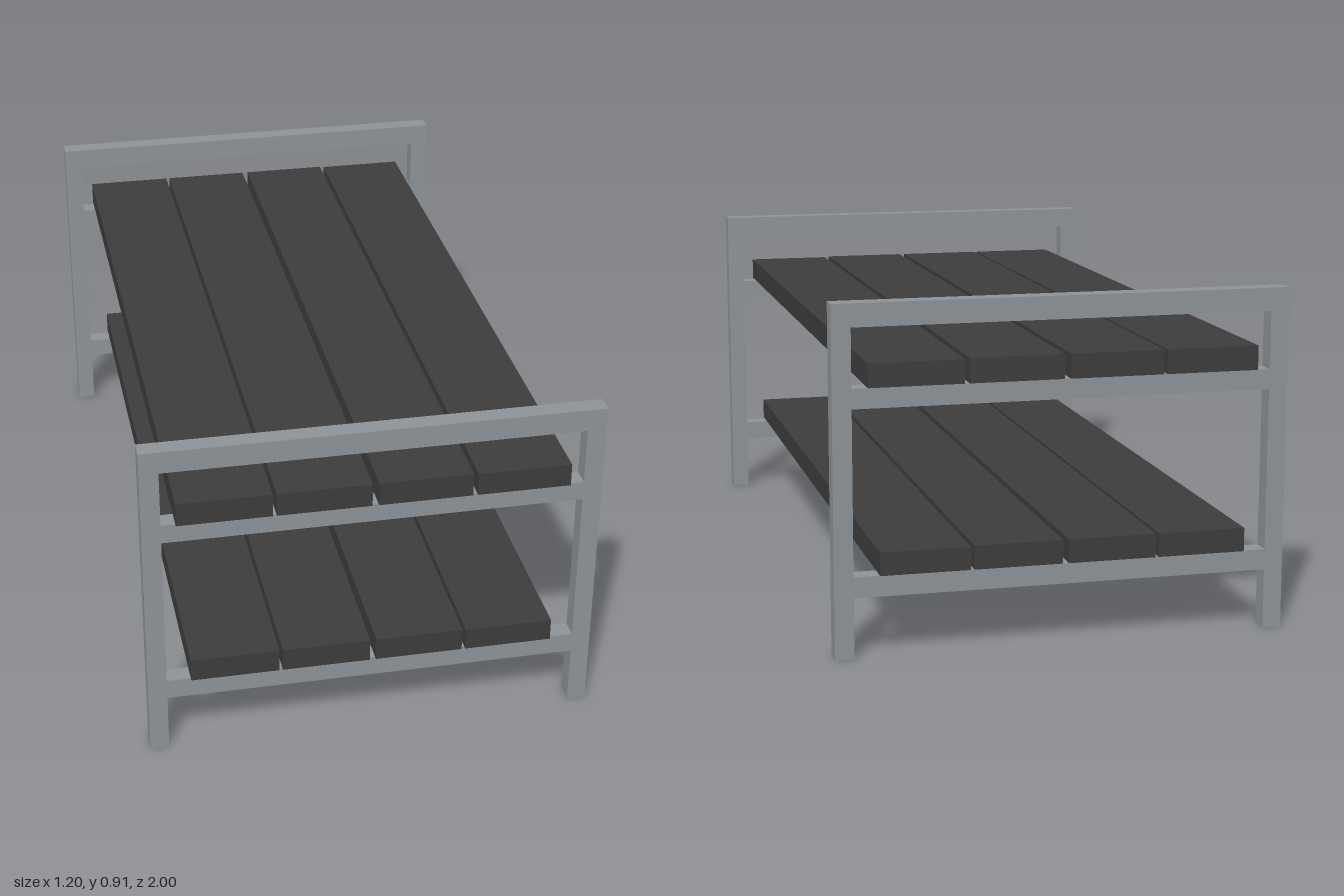
import * as THREE from 'three';

const steel = new THREE.MeshStandardMaterial({ color: 0x8d9398 });
const wood = new THREE.MeshStandardMaterial({ color: 0x3c3c3c });

// Box given by its extents along each axis
function box(parent, name, material, [x0, x1], [y0, y1], [z0, z1]) {
  const mesh = new THREE.Mesh(new THREE.BoxGeometry(x1 - x0, y1 - y0, z1 - z0), material);
  mesh.position.set((x0 + x1) / 2, (y0 + y1) / 2, (z0 + z1) / 2);
  mesh.name = name;
  parent.add(mesh);
}

// End frame: two legs, a top bar and two shelf rails
function endFrame(name, z) {
  const frame = new THREE.Group();
  frame.name = name;
  const depth = [-0.025, 0.025];
  box(frame, 'leftLeg', steel, [0.55, 0.6], [0, 0.85], depth);
  box(frame, 'rightLeg', steel, [-0.6, -0.55], [0, 0.85], depth);
  box(frame, 'topBar', steel, [-0.6, 0.6], [0.85, 0.91], depth);
  box(frame, 'upperRail', steel, [-0.55, 0.55], [0.645, 0.697], depth);
  box(frame, 'lowerRail', steel, [-0.55, 0.55], [0.16, 0.215], depth);
  frame.position.z = z;
  return frame;
}

// Shelf of four long planks
function shelf(name, starts, width, bottom, top) {
  const group = new THREE.Group();
  group.name = name;
  starts.forEach((x, i) =>
    box(group, `plank${i + 1}`, wood, [x, x + width], [bottom, top - (i === 3 ? 0.002 : 0)], [-1, 1]));
  return group;
}

export function createModel() {
  const model = new THREE.Group();
  model.name = 'shoeRack';
  model.add(
    endFrame('frontFrame', 0.963),
    endFrame('backFrame', -0.963),
    shelf('upperShelf', [-0.513, -0.257, 0.006, 0.265], 0.246, 0.699, 0.763),
    shelf('lowerShelf', [-0.487, -0.244, 0.006, 0.25], 0.234, 0.217, 0.28),
  );
  return model;
}
